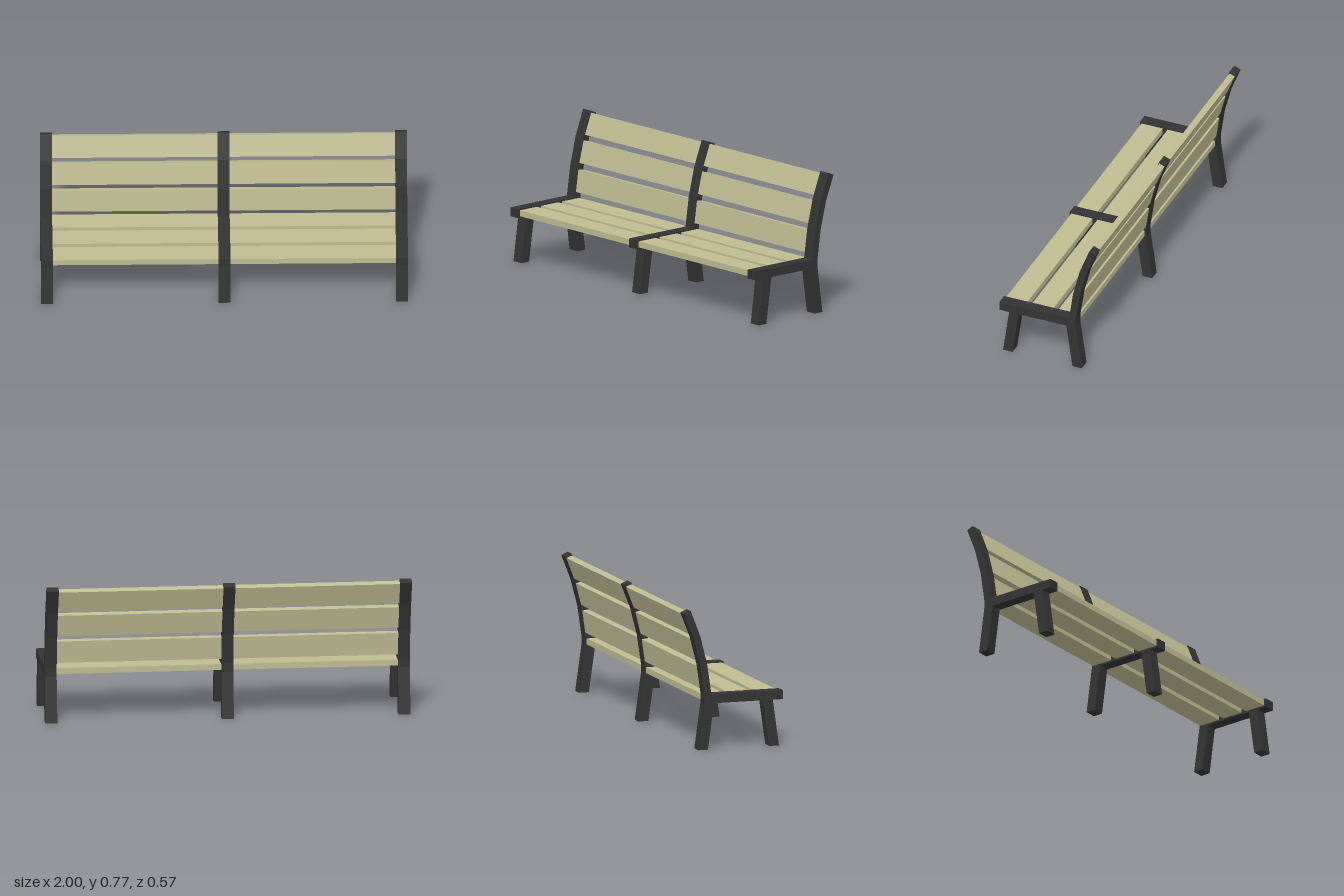
import * as THREE from 'three';

const iron = new THREE.MeshStandardMaterial({ color: 0x333333 });
const wood = new THREE.MeshStandardMaterial({ color: 0xbfbc92 });

const FRAME_WIDTH = 0.065;
const SLAT = { length: 1.88, width: 0.125, thickness: 0.033 };

// Side outline of one frame as [z, y]: legs, seat rail and curved back post
const OUTLINE = [
  [0.285, 0.255], [0.285, 0.305], [-0.128, 0.305], [-0.152, 0.47], [-0.192, 0.63],
  [-0.247, 0.772], [-0.285, 0.757], [-0.231, 0.62], [-0.192, 0.47], [-0.168, 0.305],
  [-0.168, 0.255], [-0.204, 0], [-0.148, 0], [-0.112, 0.255],
  [0.17, 0.255], [0.207, 0], [0.263, 0], [0.227, 0.255],
];

function frameGeometry() {
  const shape = new THREE.Shape(OUTLINE.map(([z, y]) => new THREE.Vector2(z, y)));
  const geometry = new THREE.ExtrudeGeometry(shape, { depth: FRAME_WIDTH, bevelEnabled: false });
  geometry.translate(0, 0, -FRAME_WIDTH / 2);
  geometry.rotateY(-Math.PI / 2);
  return geometry;
}

export function createModel() {
  const bench = new THREE.Group();
  bench.name = 'bench';

  function add(name, geometry, material, x, y, z, tilt = 0) {
    const mesh = new THREE.Mesh(geometry, material);
    mesh.name = name;
    mesh.position.set(x, y, z);
    mesh.rotation.x = tilt;
    bench.add(mesh);
  }

  // Three identical frames
  const frame = frameGeometry();
  const half = 1 - FRAME_WIDTH / 2;
  [['rightFrame', -half], ['middleFrame', 0], ['leftFrame', half]]
    .forEach(([name, x]) => add(name, frame, iron, x, 0, 0));

  // Flat seat slats, front to back
  const seatSlat = new THREE.BoxGeometry(SLAT.length, SLAT.thickness, SLAT.width);
  [0.212, 0.057, -0.098].forEach((z, i) => add(`seatSlat${i + 1}`, seatSlat, wood, 0, 0.2815, z));

  // Back slats, each tilted along its section of the post: [y, z, rise, lean]
  const backSlat = new THREE.BoxGeometry(SLAT.length, SLAT.width, SLAT.thickness);
  [
    [0.394, -0.161, 0.165, 0.024],
    [0.55, -0.192, 0.155, 0.0395],
    [0.697, -0.24, 0.14, 0.0545],
  ].forEach(([y, z, rise, lean], i) =>
    add(`backSlat${i + 1}`, backSlat, wood, 0, y, z, -Math.atan2(lean, rise)));

  return bench;
}
